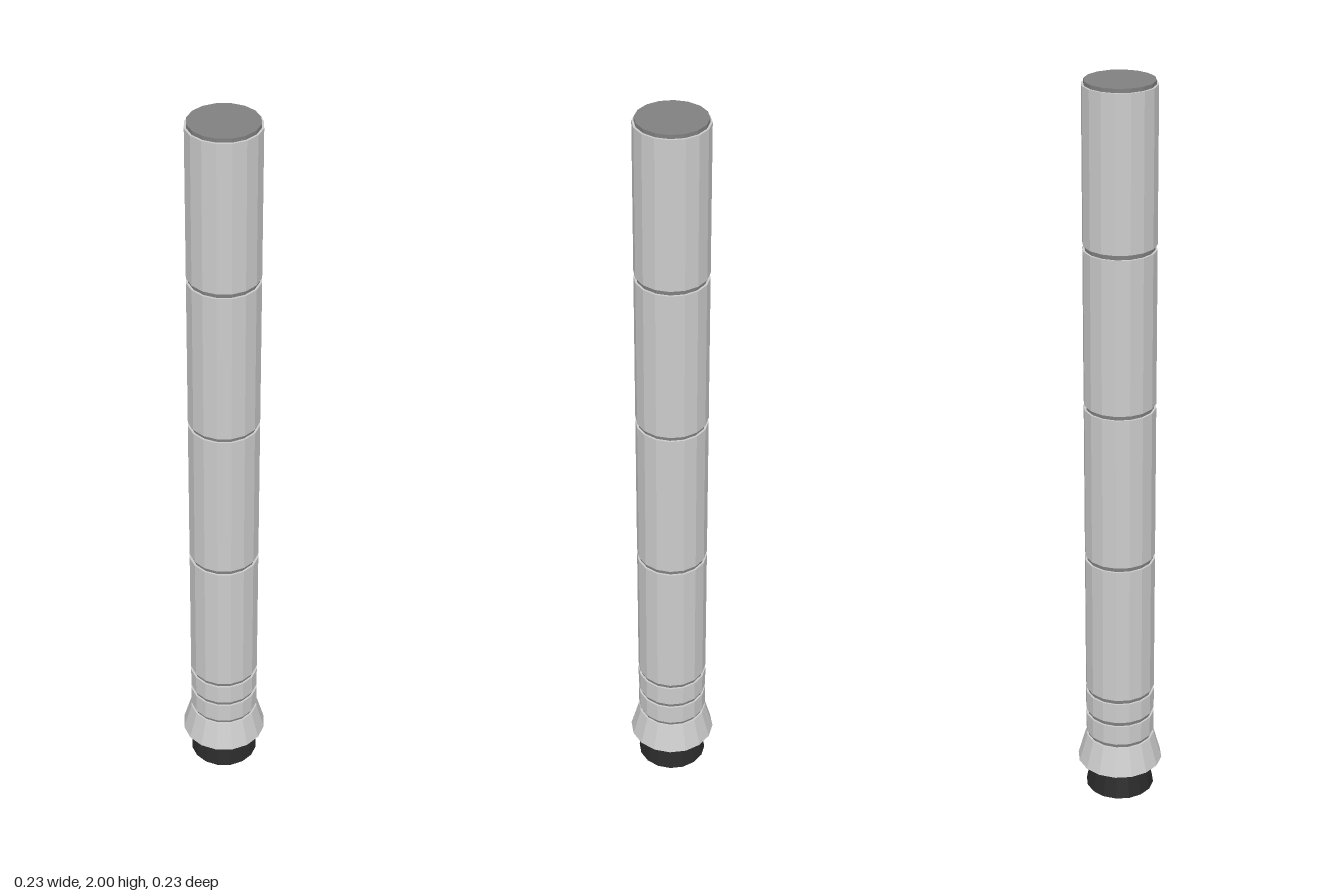
import * as THREE from 'three';

const SIDES = 16;

export function createModel() {
  const group = new THREE.Group();
  const mat = (color, side = THREE.FrontSide) =>
    new THREE.MeshStandardMaterial({ color, flatShading: true, side });
  const shell = mat(0xcccccc), band = mat(0x808080), dark = mat(0x2a2a2a, THREE.DoubleSide);

  // Faceted drum between two heights, with flats facing the axes
  function drum(name, y0, y1, r0, r1, material, open = false) {
    const geo = new THREE.CylinderGeometry(r1, r0, y1 - y0, SIDES, 1, open);
    geo.rotateY(Math.PI / SIDES);
    const mesh = new THREE.Mesh(geo, material);
    mesh.name = name;
    mesh.position.y = (y0 + y1) / 2;
    group.add(mesh);
    return mesh;
  }

  // Inner core, seen in the grooves and as the top cap
  drum('core', 0.12, 2, 0.088, 0.088, band);

  // Outer casing sections, separated by narrow grooves
  const sections = [
    [0.178, 0.235], [0.248, 0.306], [0.319, 0.714],
    [0.727, 1.15], [1.162, 1.577], [1.59, 1.99],
  ];
  sections.forEach(([a, b], i) => drum(`casingSection${i + 1}`, a, b, 0.0935, 0.0935, shell));

  // Flared skirt
  drum('skirt', 0.085, 0.166, 0.116, 0.0935, shell);

  // Hollow nozzle with a closed throat
  drum('nozzle', 0, 0.085, 0.0935, 0.077, dark, true);
  drum('nozzleThroat', 0.08, 0.09, 0.077, 0.077, dark);

  return group;
}
